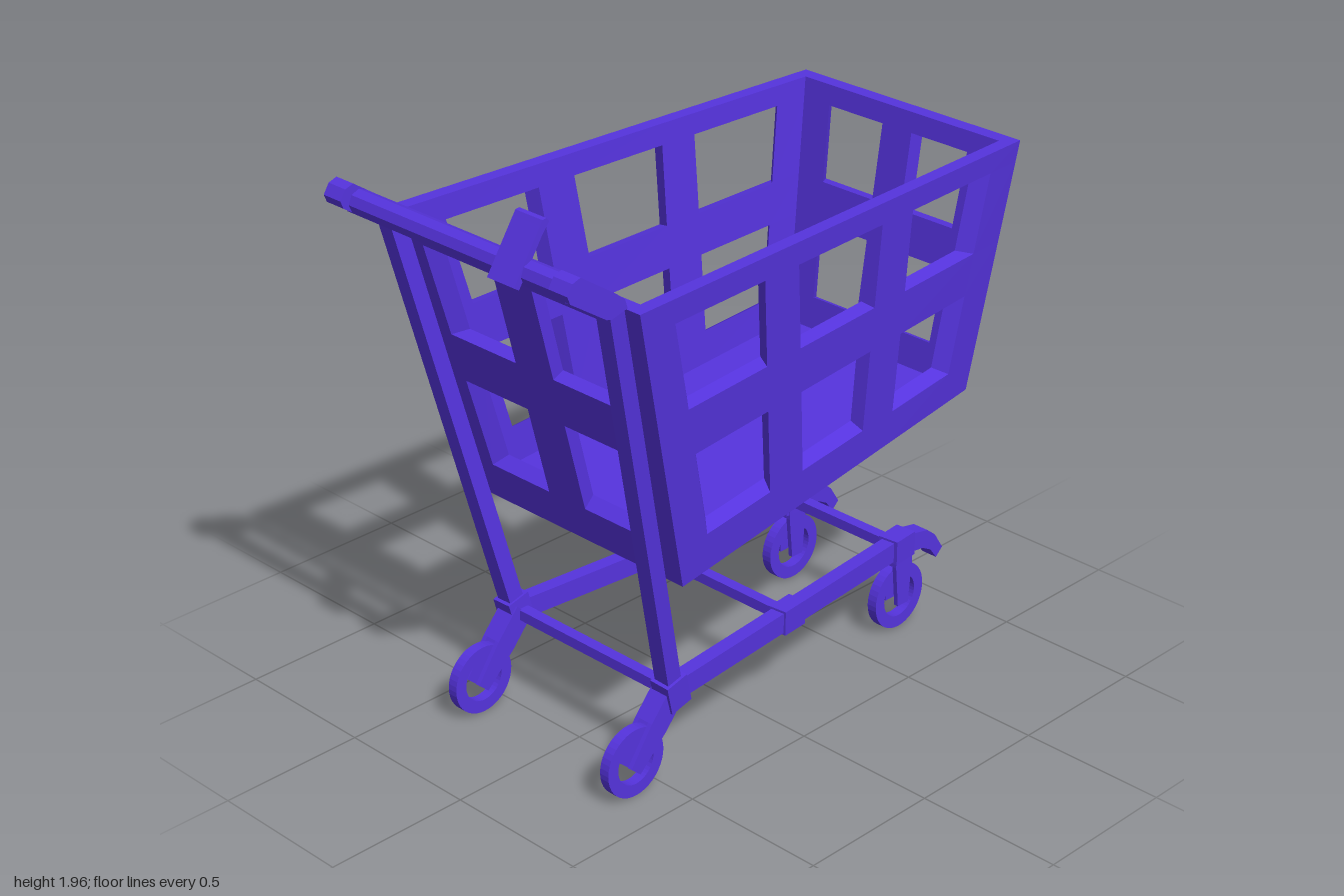
import * as THREE from 'three';

const material = new THREE.MeshStandardMaterial({ color: 0x5533dd, flatShading: true });
const V = (x, y, z) => new THREE.Vector3(x, y, z);

function add(parent, name, geometry) {
  const mesh = new THREE.Mesh(geometry, material);
  mesh.name = name;
  parent.add(mesh);
  return mesh;
}

// Box beam from a to b; h is measured in the side plane, w across it
function beam(parent, name, a, b, h, w) {
  const mesh = add(parent, name, new THREE.BoxGeometry(h, w, a.distanceTo(b)));
  const across = Math.abs(b.z - a.z) > Math.abs(b.x - a.x) + Math.abs(b.y - a.y);
  mesh.up.copy(across ? V(0, 1, 0) : V(0, 0, 1));
  mesh.position.copy(a).lerp(b, 0.5);
  mesh.lookAt(b);
  return mesh;
}

// Side-view outline extruded across z, centred on z
function plate(parent, name, points, depth, z) {
  const shape = new THREE.Shape(points.map(([x, y]) => new THREE.Vector2(x, y)));
  const geometry = new THREE.ExtrudeGeometry(shape, { depth, bevelEnabled: false });
  return add(parent, name, geometry.translate(0, 0, z - depth / 2));
}

// Thick wall between an outer and an inner quad; odd rows and columns are windows.
// Corners: lower left, lower right, upper right, upper left, seen from outside.
function panel(parent, name, outer, inner, cutsLow, cutsHigh, cutsV) {
  const cols = cutsLow.length - 1, rows = cutsV.length - 1, pos = [];
  const at = (q, i, j) => {
    const v = cutsV[j], u = THREE.MathUtils.lerp(cutsLow[i], cutsHigh[i], v);
    return q[0].clone().lerp(q[1], u).lerp(q[3].clone().lerp(q[2], u), v);
  };
  const solid = (i, j) => {
    if (j >= rows) return false;
    if (i < 0 || j < 0 || i >= cols) return true;
    return !(i % 2 && j % 2);
  };
  const quad = (a, b, c, d) => [a, b, c, a, c, d].forEach(p => pos.push(p.x, p.y, p.z));
  for (let i = 0; i < cols; i++) for (let j = 0; j < rows; j++) {
    if (!solid(i, j)) continue;
    const ring = [[i, j], [i + 1, j], [i + 1, j + 1], [i, j + 1]];
    const o = ring.map(([s, t]) => at(outer, s, t));
    const n = ring.map(([s, t]) => at(inner, s, t));
    quad(...o);
    quad(n[3], n[2], n[1], n[0]);
    [[0, -1], [1, 0], [0, 1], [-1, 0]].forEach(([di, dj], k) => {
      const m = (k + 1) % 4;
      if (!solid(i + di, j + dj)) quad(o[k], n[k], n[m], o[m]);
    });
  }
  const geometry = new THREE.BufferGeometry();
  geometry.setAttribute('position', new THREE.Float32BufferAttribute(pos, 3));
  geometry.computeVertexNormals();
  add(parent, name, geometry);
}

function buildBasket() {
  const basket = new THREE.Group();
  basket.name = 'basket';
  // Corner lookup: end 0 is the handle end, 1 the nose; level 0 bottom, 1 top
  const outer = [[[-0.5, 0.73, 0.46], [-0.75, 1.72, 0.545]], [[0.865, 0.88, 0.39], [1, 1.72, 0.455]]];
  const inner = [[[-0.46, 0.765, 0.42], [-0.7, 1.72, 0.495]], [[0.82, 0.905, 0.35], [0.95, 1.72, 0.41]]];
  const wall = (name, e0, s0, e1, s1, low, high) => {
    const corners = t => [[e0, s0, 0], [e1, s1, 0], [e1, s1, 1], [e0, s0, 1]].map(([e, s, l]) => {
      const [x, y, z] = t[e][l];
      return V(x, y, z * s);
    });
    panel(basket, name, corners(outer), corners(inner), low, high, [0, 0.13, 0.44, 0.607, 0.918, 1]);
  };
  const low = [0, 0.095, 0.293, 0.403, 0.604, 0.711, 0.908, 1];
  const high = [0, 0.074, 0.3, 0.386, 0.614, 0.697, 0.926, 1];
  const flip = cuts => cuts.map(u => 1 - u).reverse();
  const endLow = [0, 0.147, 0.415, 0.585, 0.853, 1];
  const endHigh = [0, 0.137, 0.425, 0.575, 0.863, 1];
  wall('leftWall', 0, 1, 1, 1, low, high);
  wall('rightWall', 1, -1, 0, -1, flip(low), flip(high));
  wall('noseWall', 1, 1, 1, -1, endLow, endHigh);
  wall('handleWall', 0, -1, 0, 1, endLow, endHigh);
  const floor = t => [[0, -1], [1, -1], [1, 1], [0, 1]].map(([e, s]) => V(t[e][0][0], t[e][0][1], s * t[e][0][2]));
  panel(basket, 'floor', floor(outer), floor(inner), [0, 1], [0, 1], [0, 1]);
  return basket;
}

// Ring wheel held by a tapered two-tine fork running from (x, y) to the hub
function buildCaster(name, x, y, hubX, hubY, z) {
  const caster = new THREE.Group();
  caster.name = name;
  const ring = new THREE.Shape().absarc(0, 0, 0.117, 0, Math.PI * 2);
  ring.holes.push(new THREE.Path().absarc(0, 0, 0.075, 0, Math.PI * 2, true));
  const tyre = new THREE.ExtrudeGeometry(ring, { depth: 0.036, bevelEnabled: false, curveSegments: 20 });
  add(caster, 'wheel', tyre.translate(hubX, hubY, z - 0.018));

  const fork = new THREE.Group();
  fork.name = 'fork';
  const length = Math.hypot(hubX - x, hubY - y);
  const yoke = -(length - 0.125), tip = -(length + 0.025);
  plate(fork, 'yoke', [[-0.04, 0], [-0.04, yoke], [0.04, yoke], [0.04, 0]], 0.07, 0);
  for (const s of [-1, 1]) {
    plate(fork, 'tine', [[-0.04, yoke], [-0.025, tip], [0.025, tip], [0.04, yoke]], 0.016, s * 0.027);
  }
  fork.position.set(x, y, z);
  fork.rotation.z = Math.atan2(hubX - x, y - hubY);
  caster.add(fork);
  return caster;
}

function buildFrame() {
  const frame = new THREE.Group();
  frame.name = 'frame';
  const railZ = x => THREE.MathUtils.mapLinear(x, -0.44, 0.725, 0.35, 0.24);
  for (const s of [-1, 1]) {
    const side = s > 0 ? 'left' : 'right';
    const rail = x => V(x, 0.305, s * railZ(x));
    // Lower rail with its sleeves
    beam(frame, side + 'Rail', rail(-0.44), rail(0.75), 0.07, 0.05);
    beam(frame, side + 'MiddleSleeve', rail(0.085), rail(0.185), 0.085, 0.065);
    beam(frame, side + 'CasterHead', rail(0.675), rail(0.775), 0.085, 0.075);
    beam(frame, side + 'RearJoint', V(-0.432, 0.255, s * 0.35), V(-0.457, 0.355, s * 0.355), 0.085, 0.075);
    // Drooping nose bumper
    plate(frame, side + 'Bumper', [[0.77, 0.27], [0.83, 0.262], [0.87, 0.24], [0.9, 0.2],
      [0.93, 0.228], [0.89, 0.29], [0.85, 0.322], [0.77, 0.338]], 0.06, s * 0.235);
    // Upright post and the grip arm on top of it
    beam(frame, side + 'Post', V(-0.453, 0.33, s * 0.352), V(-0.793, 1.75, s * 0.465), 0.056, 0.058);
    plate(frame, side + 'GripArm', [[-0.825, 1.72], [-0.765, 1.735], [-0.775, 1.765], [-0.805, 1.79],
      [-0.94, 1.882], [-0.97, 1.872], [-0.99, 1.84], [-0.98, 1.815], [-0.845, 1.725]], 0.075, s * 0.475);
    // Casters
    frame.add(buildCaster(side + 'RearCaster', -0.44, 0.31, -0.605, 0.12, s * 0.345));
    frame.add(buildCaster(side + 'FrontCaster', 0.725, 0.28, 0.725, 0.12, s * 0.24));
  }
  // Cross bars between the rails
  for (const x of [-0.44, 0.135, 0.725]) {
    beam(frame, 'crossBar', V(x, 0.302, -railZ(x)), V(x, 0.302, railZ(x)), 0.04, 0.036);
  }
  return frame;
}

function buildHandle() {
  const handle = new THREE.Group();
  handle.name = 'handle';
  const bar = add(handle, 'handleBar', new THREE.CylinderGeometry(0.04, 0.04, 0.92, 8));
  bar.rotation.x = Math.PI / 2;
  bar.position.set(-0.92, 1.82, 0);
  // Small tab clipped across the bar
  beam(handle, 'tab', V(-0.977, 1.79, 0.24), V(-0.875, 1.945, 0.24), 0.022, 0.11);
  plate(handle, 'tabTip', [[-0.9, 1.925], [-0.875, 1.925], [-0.85, 1.955], [-0.86, 1.967], [-0.875, 1.965]], 0.11, 0.24);
  return handle;
}

export function createModel() {
  const cart = new THREE.Group();
  cart.name = 'shoppingCart';
  cart.add(buildBasket(), buildFrame(), buildHandle());
  return cart;
}
